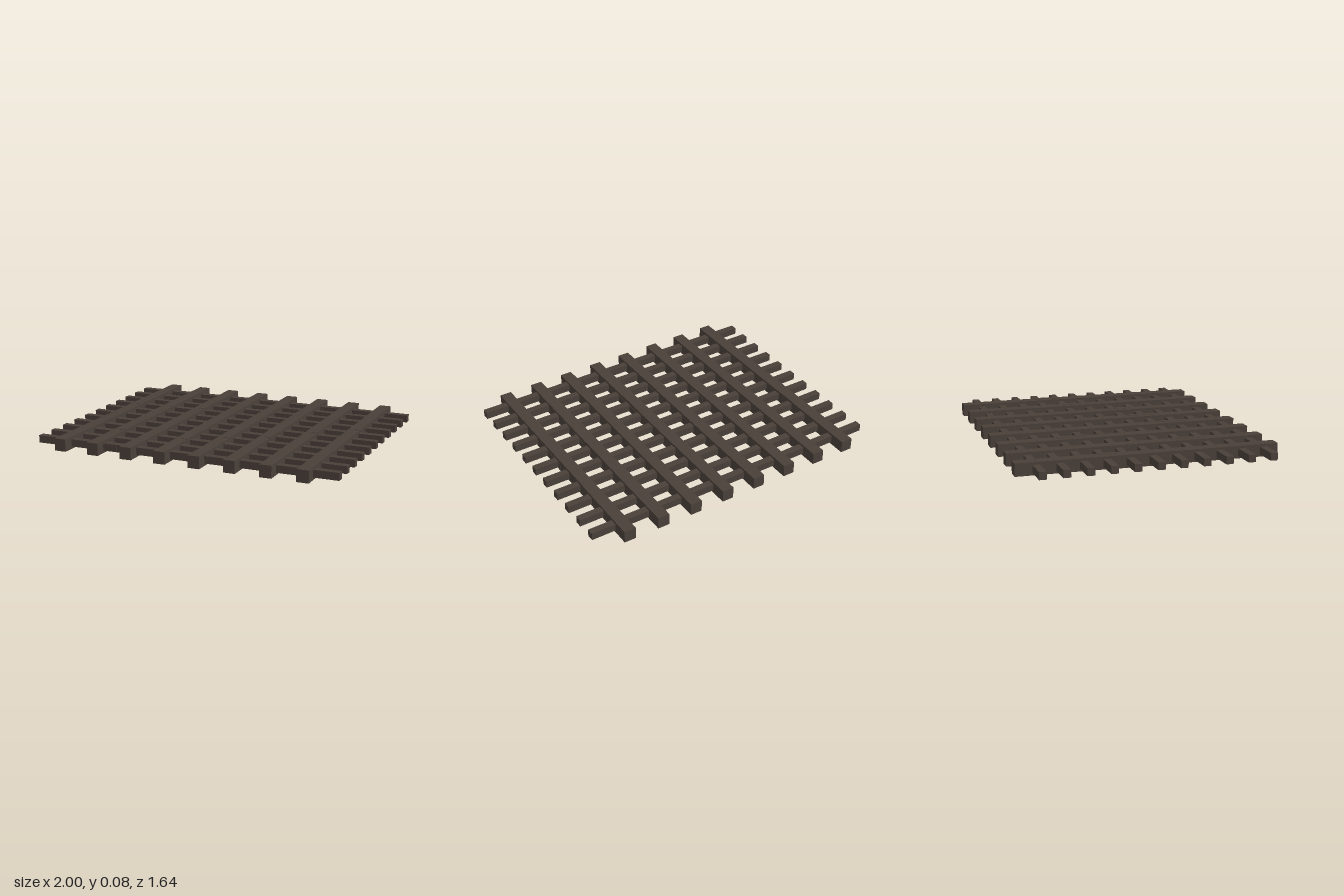
import * as THREE from 'three';

export function createModel() {
  const model = new THREE.Group();
  model.name = 'lattice';
  const iron = new THREE.MeshStandardMaterial({ color: 0x4a4039 });
  iron.name = 'dark brown';

  const addBox = (parent, name, size, pos) => {
    const mesh = new THREE.Mesh(new THREE.BoxGeometry(...size), iron);
    mesh.name = name;
    mesh.position.set(...pos);
    parent.add(mesh);
  };

  // Small seeded generator for the irregular worn strips
  let seed = 17;
  const rand = () => (seed = (seed * 16807) % 2147483647) / 2147483647;

  // Eight heavy bars running front to back
  const W = 0.076, H = 0.078, midY = 0.045;
  for (let i = 0; i < 8; i++) {
    const x = -0.802 + i * 0.2294;
    const bar = new THREE.Group();
    bar.name = 'longBar' + (i + 1);
    bar.position.set(x, midY, 0);
    model.add(bar);
    addBox(bar, 'beam', [W, H, 1.64], [0, 0, 0]);
    // Slightly raised strips on the top, underside and flanks
    const run = () => 0.12 + rand() * 0.2;
    const at = () => (rand() - 0.5) * 0.9;
    addBox(bar, 'topStrip', [W / 2, 0.005, run()], [W / 4, H / 2, at()]);
    addBox(bar, 'bottomStrip', [W * 0.9, 0.005, run()], [0, -H / 2, -0.15 + at() * 0.3]);
    addBox(bar, 'leftStrip', [0.006, H * 0.6, run()], [W / 2, -0.008, at()]);
    addBox(bar, 'rightStrip', [0.006, H * 0.6, run()], [-W / 2, -0.008, at()]);
  }

  // Eleven thin rods threaded through the heavy bars
  for (let i = 0; i < 11; i++) {
    const rod = new THREE.Group();
    rod.name = 'crossRod' + (i + 1);
    rod.position.set(0, midY, -0.693 + i * 0.1418);
    model.add(rod);
    addBox(rod, 'rod', [2, 0.047, 0.045], [0, 0, 0]);
    const x = (rand() - 0.5) * 1.1;
    addBox(rod, 'sideStrip', [0.2, 0.03, 0.005], [x, 0, i % 2 ? -0.0225 : 0.0225]);
  }
  return model;
}
